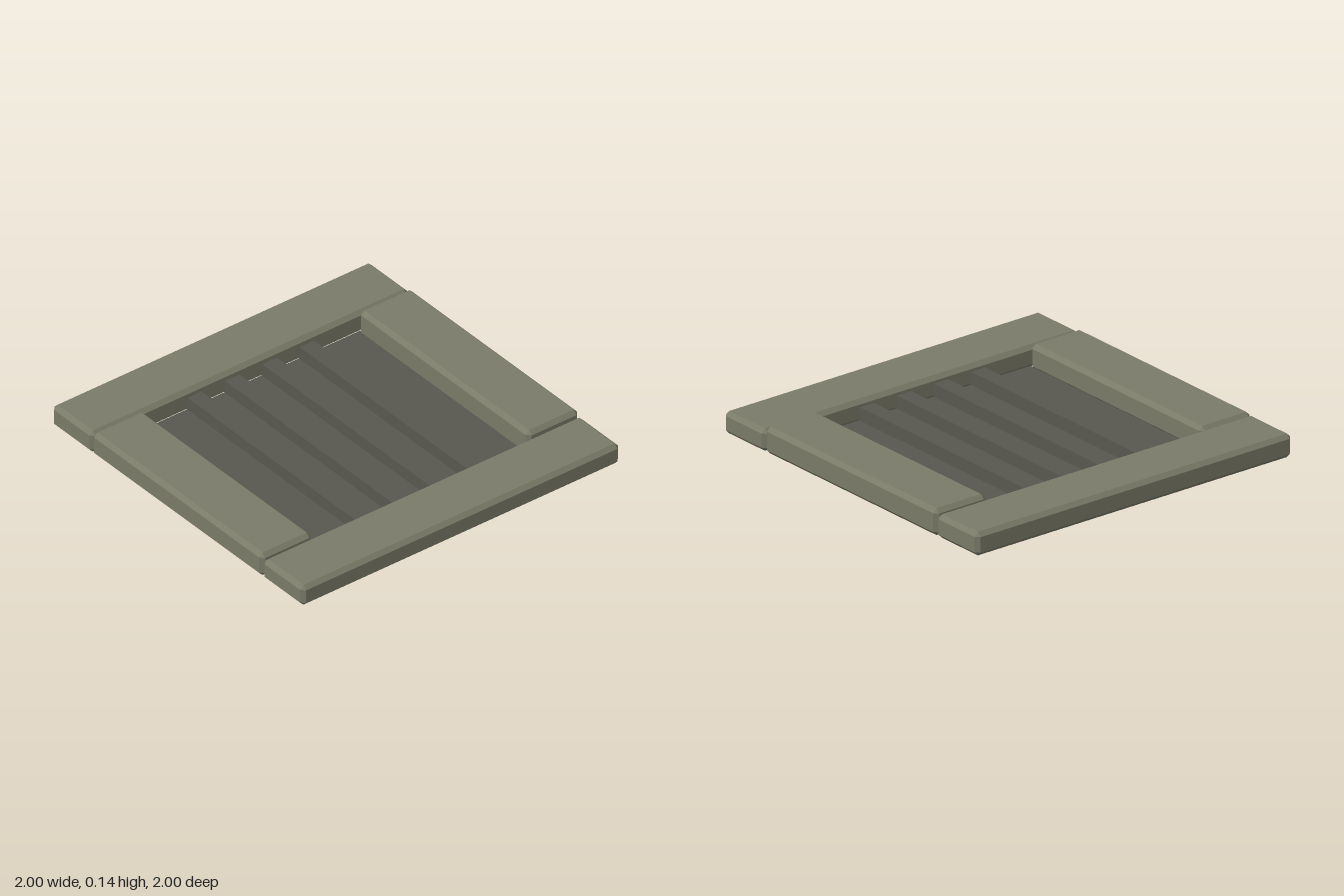
import * as THREE from 'three';
import { ConvexGeometry } from 'three/addons/geometries/ConvexGeometry.js';

const BEVEL = 0.022;

// Box with every edge and corner chamfered, given by its min/max bounds
function chamferedBox(x0, x1, y0, y1, z0, z1, b = BEVEL) {
  const hx = (x1 - x0) / 2, hy = (y1 - y0) / 2, hz = (z1 - z0) / 2;
  const points = [];
  for (const sx of [-1, 1]) for (const sy of [-1, 1]) for (const sz of [-1, 1]) {
    points.push(
      new THREE.Vector3(sx * hx, sy * (hy - b), sz * (hz - b)),
      new THREE.Vector3(sx * (hx - b), sy * hy, sz * (hz - b)),
      new THREE.Vector3(sx * (hx - b), sy * (hy - b), sz * hz)
    );
  }
  return new ConvexGeometry(points).translate((x0 + x1) / 2, (y0 + y1) / 2, (z0 + z1) / 2);
}

function box(x0, x1, y0, y1, z0, z1) {
  return new THREE.BoxGeometry(x1 - x0, y1 - y0, z1 - z0)
    .translate((x0 + x1) / 2, (y0 + y1) / 2, (z0 + z1) / 2);
}

export function createModel() {
  const group = new THREE.Group();
  const frameMat = new THREE.MeshStandardMaterial({ color: 0x7a7a69 });
  frameMat.name = 'olive grey frame';
  const panelMat = new THREE.MeshStandardMaterial({ color: 0x58574f });
  panelMat.name = 'dark grey panel';

  const add = (name, geometry, material) => {
    const mesh = new THREE.Mesh(geometry, material);
    mesh.name = name;
    group.add(mesh);
  };

  // Frame: two full-width rails and two slightly taller side pieces
  add('frontRail', chamferedBox(-1, 1, 0, 0.12, 0.675, 1), frameMat);
  add('backRail', chamferedBox(-1, 1, 0, 0.127, -1, -0.675), frameMat);
  add('leftSide', chamferedBox(0.675, 1, 0, 0.145, -0.675, 0.675), frameMat);
  add('rightSide', chamferedBox(-1, -0.68, 0, 0.136, -0.68, 0.675), frameMat);

  // Recessed floor panel
  add('floorPanel', box(-0.69, 0.69, 0.001, 0.012, -0.68, 0.68), panelMat);

  // Raised bars running front to back
  for (let i = 0; i < 4; i++) {
    const x = -0.355 + i * 0.235;
    add('bar' + (i + 1), box(x - 0.045, x + 0.045, 0.006, 0.083, -0.68, 0.68), panelMat);
  }
  return group;
}
